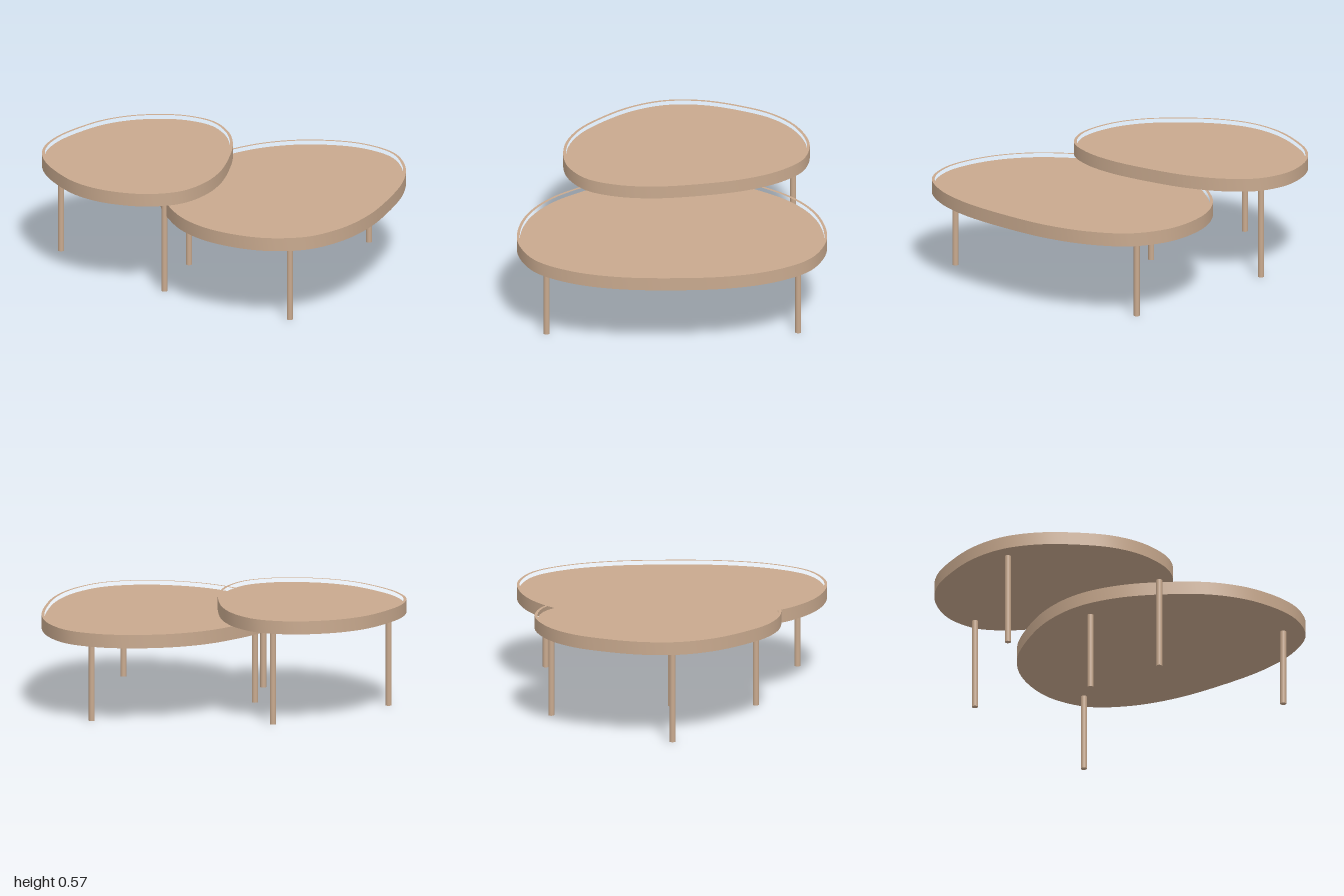
import * as THREE from 'three';
import { toCreasedNormals } from 'three/addons/utils/BufferGeometryUtils.js';

const RIM_WIDTH = 0.015;
const RECESS = 0.022;
const LEG_RADIUS = 0.016;

// Half of the pebble outline: [along the long side, away from the straighter edge]
const HALF = [
  [0, -0.265], [0.24, -0.25], [0.43, -0.195], [0.578, -0.095], [0.645, 0.04],
  [0.655, 0.16], [0.615, 0.33], [0.525, 0.472], [0.4, 0.578], [0.2, 0.69], [0, 0.73],
];

// Closed smooth outline in (x, z), placed, turned and scaled
function outline(cx, cz, angle, scale) {
  const mirrored = HALF.slice(1, -1).reverse().map(([t, w]) => [-t, w]);
  const c = Math.cos(angle), s = Math.sin(angle);
  const points = [...HALF, ...mirrored].map(([t, w]) =>
    new THREE.Vector3(cx + scale * (c * t - s * w), cz + scale * (-s * t - c * w), 0));
  const curve = new THREE.CatmullRomCurve3(points, true, 'centripetal');
  return curve.getSpacedPoints(128).slice(0, -1).map((p) => new THREE.Vector2(p.x, p.y));
}

// Move every outline point inwards by a fixed distance
function inset(points, distance) {
  const n = points.length;
  const sign = THREE.ShapeUtils.area(points) > 0 ? 1 : -1;
  return points.map((p, i) => {
    const d = points[(i + 1) % n].clone().sub(points[(i + n - 1) % n]).normalize();
    return new THREE.Vector2(p.x - d.y * distance * sign, p.y + d.x * distance * sign);
  });
}

// Horizontal slab between two heights
function slab(shape, bottom, top, material, name) {
  const geometry = new THREE.ExtrudeGeometry(shape, { depth: top - bottom, bevelEnabled: false });
  geometry.rotateX(Math.PI / 2);
  geometry.translate(0, top, 0);
  const mesh = new THREE.Mesh(toCreasedNormals(geometry, 0.5), material);
  mesh.name = name;
  return mesh;
}

function createTable({ name, center, angle, scale, bottom, top, legs }, material) {
  const table = new THREE.Group();
  table.name = name;
  const outer = outline(center[0], center[1], angle, scale);
  const inner = inset(outer, RIM_WIDTH);

  // Raised edge around a recessed tray
  const ring = new THREE.Shape(outer);
  ring.holes.push(new THREE.Path(inner));
  table.add(slab(ring, bottom, top, material, 'rim'));
  table.add(slab(new THREE.Shape(inner), bottom, top - RECESS, material, 'tray'));

  // Three slim round legs
  legs.forEach(([x, z]) => {
    const leg = new THREE.Mesh(
      new THREE.CylinderGeometry(LEG_RADIUS, LEG_RADIUS, bottom, 24), material);
    leg.position.set(x, bottom / 2, z);
    leg.name = 'leg';
    table.add(leg);
  });
  return table;
}

export function createModel() {
  const model = new THREE.Group();
  model.name = 'nestingTables';
  const wood = new THREE.MeshStandardMaterial({ color: 0xc8a98e });
  wood.name = 'light wood';

  model.add(createTable({
    name: 'highTable', center: [-0.2075, -0.295], angle: THREE.MathUtils.degToRad(50.3),
    scale: 1, bottom: 0.5, top: 0.57,
    legs: [[-0.685, -0.715], [-0.56, 0.13], [0.145, -0.715]],
  }, wood));
  model.add(createTable({
    name: 'lowTable', center: [0.2725, 0.44], angle: THREE.MathUtils.degToRad(40.3),
    scale: 1.25, bottom: 0.42, top: 0.492,
    legs: [[0.78, 0.01], [-0.235, 0.87], [-0.225, -0.17]],
  }, wood));
  return model;
}
